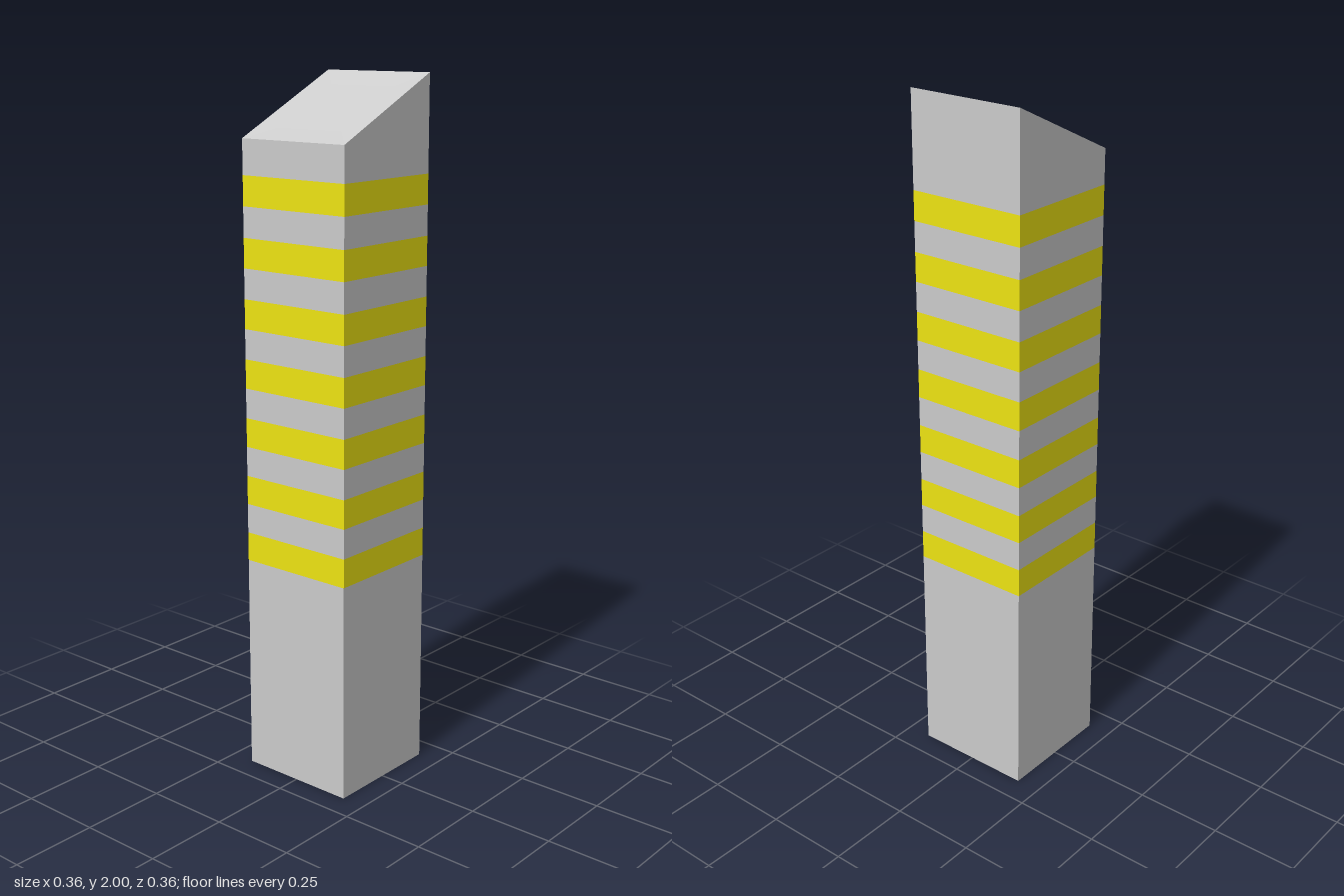
import * as THREE from 'three';

const HALF = 0.178;           // half width of the square post
const INNER = 0.11;           // half width of the floor of the dished top
const BAND = 0.0835, PITCH = 0.1688, FIRST = 0.636, COUNT = 7;
const LOW = 1.83, HIGH = 2, DISH = 0.005;

const grey = new THREE.MeshStandardMaterial({ color: 0xcccccc, flatShading: true });
const yellow = new THREE.MeshStandardMaterial({ color: 0xeee413, flatShading: true });

// height of the slanted top at a given x
const slant = (x) => THREE.MathUtils.mapLinear(x, -HALF, HALF, LOW, HIGH);

// four-sided open tube with sides along x and z
function squareTube(halfTop, halfBottom, height) {
  return new THREE.CylinderGeometry(halfTop * Math.SQRT2, halfBottom * Math.SQRT2, height, 4, 1, true, Math.PI / 4);
}

// set each vertex height by a rule
function reshape(geometry, rule) {
  const p = geometry.attributes.position;
  for (let i = 0; i < p.count; i++) p.setY(i, rule(p.getX(i), p.getY(i)));
  geometry.computeVertexNormals();
  return geometry;
}

export function createModel() {
  const group = new THREE.Group();
  group.name = 'bollard';
  const add = (name, geometry, material) => {
    const mesh = new THREE.Mesh(geometry, material);
    mesh.name = name;
    group.add(mesh);
  };
  const section = (name, y0, y1, material) =>
    add(name, squareTube(HALF, HALF, y1 - y0).translate(0, (y0 + y1) / 2, 0), material);

  // base and lower shaft
  add('bottom', new THREE.PlaneGeometry(2 * HALF, 2 * HALF).rotateX(Math.PI / 2), grey);
  section('lowerShaft', 0, FIRST, grey);

  // flush yellow bands with grey gaps between them
  for (let i = 0; i < COUNT; i++) {
    const y = FIRST + i * PITCH;
    section(`yellowBand${i + 1}`, y, y + BAND, yellow);
    if (i < COUNT - 1) section(`greyBand${i + 1}`, y + BAND, y + PITCH, grey);
  }

  // head with a slanted upper edge
  const neck = FIRST + (COUNT - 1) * PITCH + BAND;
  add('head', reshape(squareTube(HALF, HALF, 1), (x, y) => (y > 0 ? slant(x) : neck)), grey);

  // slanted top: shallow mitred rim around a flat floor
  add('topRim', reshape(squareTube(INNER, HALF, 1), (x, y) => slant(x) - (y > 0 ? DISH : 0)), grey);
  const floor = new THREE.PlaneGeometry(2 * INNER, 2 * INNER).rotateX(-Math.PI / 2);
  add('topFloor', reshape(floor, (x) => slant(x) - DISH), grey);

  return group;
}
